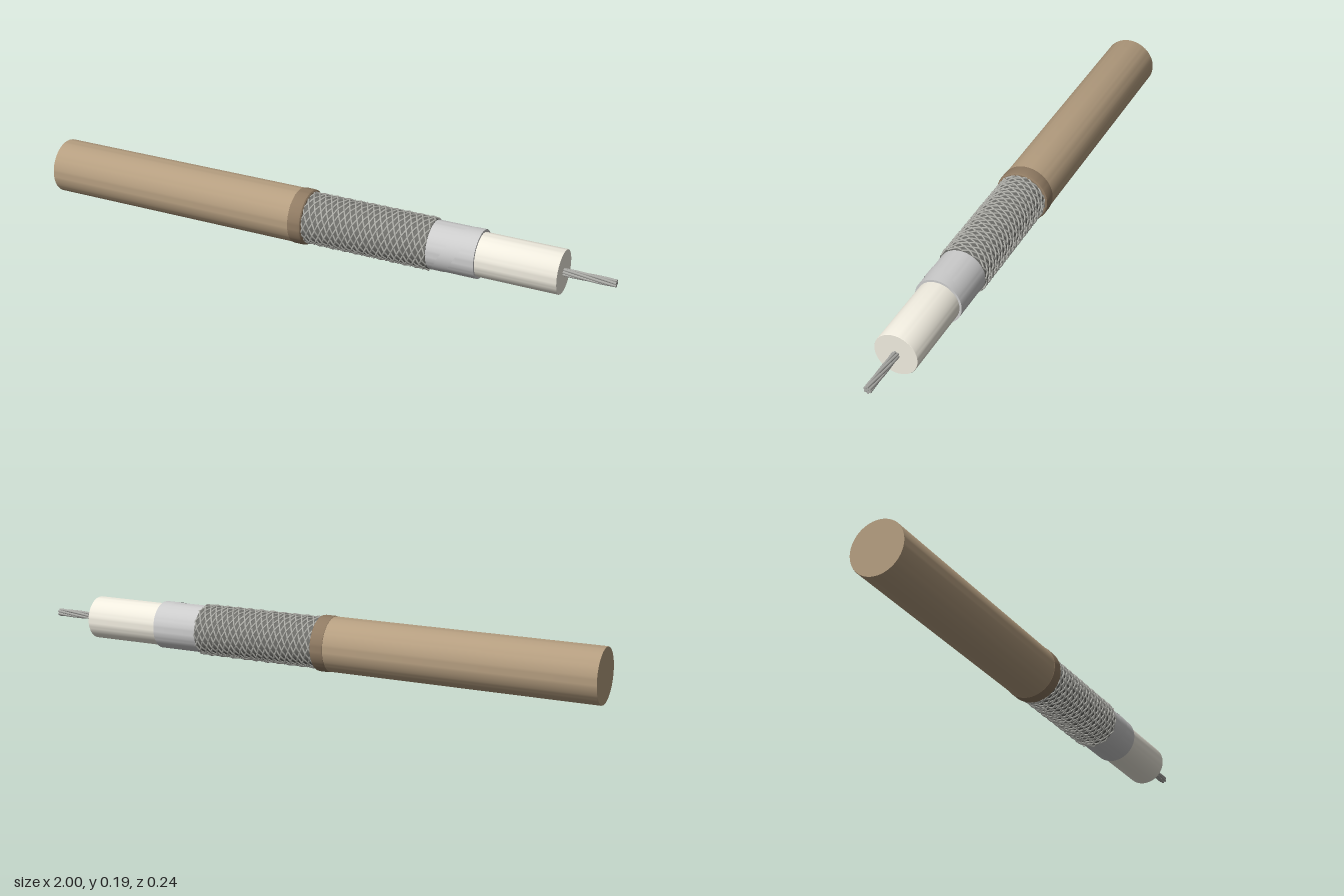
import * as THREE from 'three';
import { toCreasedNormals } from 'three/addons/utils/BufferGeometryUtils.js';

export function createModel() {
  const model = new THREE.Group();
  model.name = 'coaxialCable';
  const cable = new THREE.Group();
  cable.name = 'cable';
  model.add(cable);

  const paint = (color) => new THREE.MeshStandardMaterial({ color });
  const tan = paint(0xb59e80);
  const brown = paint(0x8f7a62);
  const darkGrey = paint(0x6e6e6a);
  const silver = paint(0xb4b4ae);
  const foilGrey = paint(0xdcdcda);
  const cream = paint(0xf0ecdf);
  const wireGrey = paint(0xa8a8a4);

  const add = (name, geometry, material, parent = cable) => {
    const mesh = new THREE.Mesh(geometry, material);
    mesh.name = name;
    parent.add(mesh);
    return mesh;
  };

  // Solid of revolution along x, from [x, radius] pairs
  const turned = (name, profile, material) => {
    const points = profile.map(([x, r]) => new THREE.Vector2(r, x));
    const geometry = new THREE.LatheGeometry(points, 64);
    geometry.rotateZ(-Math.PI / 2);
    return add(name, toCreasedNormals(geometry, 0.6), material);
  };

  // Helix around x whose radius may vary along its length
  class Helix extends THREE.Curve {
    constructor(x0, x1, turns, phase, radiusAt) {
      super();
      Object.assign(this, { x0, x1, turns, phase, radiusAt });
    }
    getPoint(t, target = new THREE.Vector3()) {
      const a = this.phase + this.turns * t * Math.PI * 2;
      const r = this.radiusAt(t);
      return target.set(this.x0 + (this.x1 - this.x0) * t, r * Math.cos(a), r * Math.sin(a));
    }
  }

  // Outer jacket and the collar at its cut edge
  turned('jacket', [[-0.996, 0], [-0.996, 0.0905], [-0.993, 0.0915], [-0.06, 0.0915], [-0.06, 0]], tan);
  turned('jacketCollar', [
    [-0.085, 0.088], [-0.082, 0.0925], [-0.076, 0.0935], [-0.046, 0.0935],
    [-0.039, 0.092], [-0.036, 0.088], [-0.036, 0.08],
  ], brown);

  // Woven shield: two opposed sets of wires passing over and under each other
  turned('shieldCore', [[-0.06, 0.082], [0.4, 0.082], [0.4, 0.078]], darkGrey);
  const braid = new THREE.Group();
  braid.name = 'braid';
  cable.add(braid);
  const carriers = 12;
  const turns = 1.75;
  for (const direction of [1, -1]) {
    for (let i = 0; i < carriers; i++) {
      const weave = (t) => 0.0838 + direction * 0.0014 *
        Math.cos(turns * t * carriers * Math.PI * 2 + i * Math.PI);
      const path = new Helix(-0.05, 0.4, direction * turns, (i / carriers) * Math.PI * 2, weave);
      add('braidWire', new THREE.TubeGeometry(path, 170, 0.003, 5), silver, braid);
    }
  }

  // Foil wrap with a raised spiral overlap
  turned('foil', [[0.39, 0.08], [0.562, 0.08], [0.562, 0.072]], foilGrey);
  const lap = new THREE.PlaneGeometry(1, 1, 48, 1);
  const pos = lap.attributes.position;
  for (let i = 0; i < pos.count; i++) {
    const t = pos.getX(i) + 0.5;
    const across = pos.getY(i) + 0.5;
    const x = Math.min(0.4 + 0.162 * t + 0.05 * across, 0.562);
    const a = 2.6 - Math.PI * 1.2 * t;
    pos.setXYZ(i, x, 0.0812 * Math.cos(a), 0.0812 * Math.sin(a));
  }
  lap.computeVertexNormals();
  const lapMaterial = paint(0xdcdcda);
  lapMaterial.side = THREE.DoubleSide;
  add('foilOverlap', lap, lapMaterial);

  // Insulating core
  turned('insulation', [[0.55, 0.0725], [0.829, 0.0725], [0.831, 0.0715], [0.831, 0]], cream);

  // Seven-strand conductor: one straight wire and six twisted around it
  const conductor = new THREE.Group();
  conductor.name = 'conductor';
  cable.add(conductor);
  for (let i = 0; i < 7; i++) {
    const ring = i === 6 ? 0 : 0.009;
    const phase = (i / 6) * Math.PI * 2;
    const path = new Helix(0.82, 1, 0.35, phase, () => ring);
    add('conductorStrand', new THREE.TubeGeometry(path, 24, 0.0045, 10), wireGrey, conductor);
    // Closed wire end
    const tip = add('strandEnd', new THREE.CircleGeometry(0.0045, 10), wireGrey, conductor);
    tip.rotation.y = Math.PI / 2;
    tip.position.copy(path.getPoint(1));
  }

  // The cable lies slightly skewed across the ground
  cable.rotation.y = -0.0445;
  cable.position.set(0, 0.0935, 0.012);
  return model;
}
